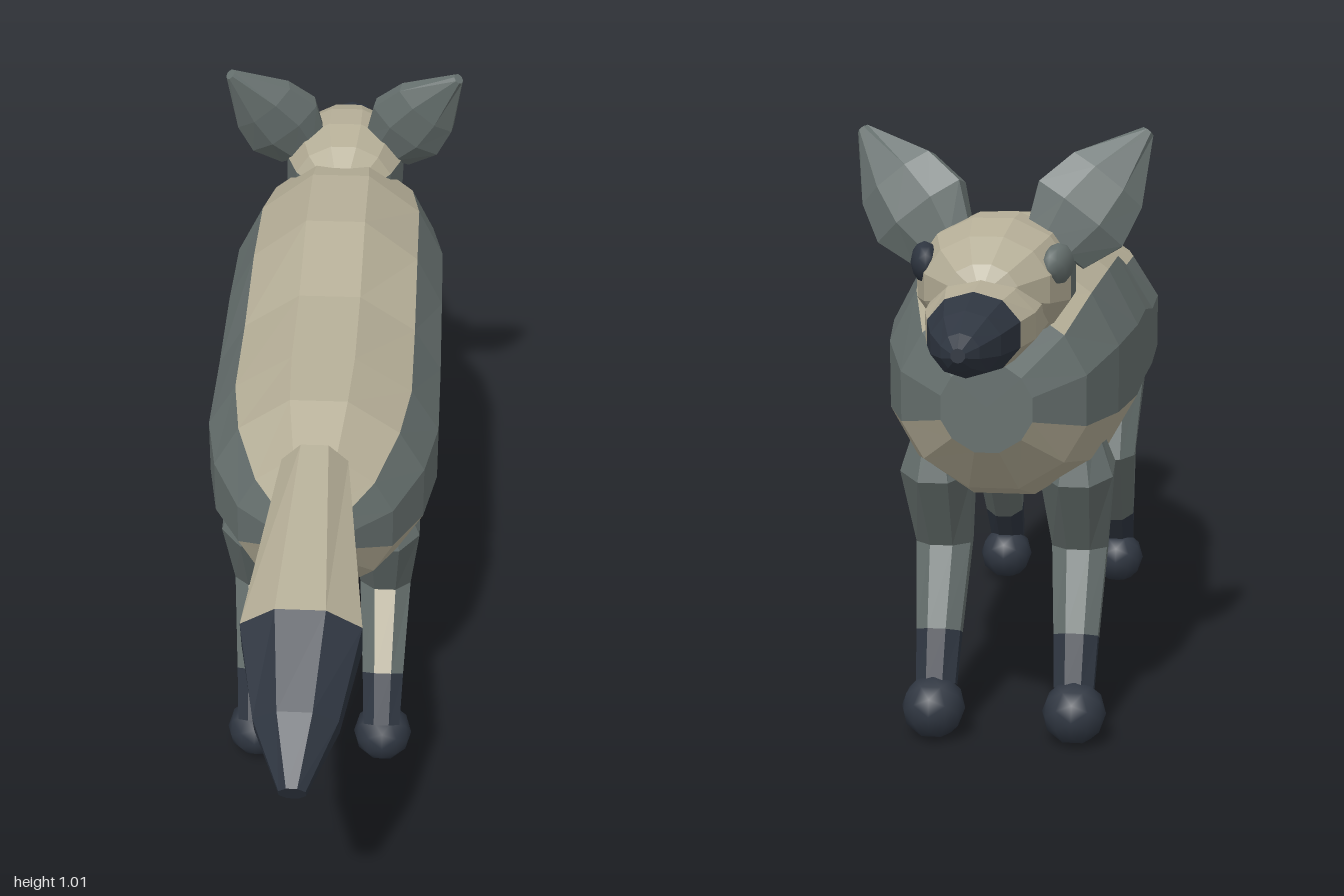
import * as THREE from 'three';

const V = (x, y, z) => new THREE.Vector3(x, y, z);

// Regular n-sided section with a flat facing up
function ngon(n) {
  const pts = [];
  for (let j = 0; j < n; j++) {
    const a = ((j + 0.5) / n) * Math.PI * 2, r = 1 / Math.cos(Math.PI / n);
    pts.push([Math.cos(a) * r, Math.sin(a) * r]);
  }
  return pts;
}

// Faceted skin along path points [x, y, z, ru, rv]; pick(i, j) gives a material index per face
function loft(path, profile, u0, pick, axis) {
  const centres = path.map((p) => V(p[0], p[1], p[2]));
  const last = path.length - 1, n = profile.length;
  const rings = path.map((p, i) => {
    const t = axis ? axis.clone()
      : centres[Math.min(i + 1, last)].clone().sub(centres[Math.max(i - 1, 0)]).normalize();
    const u = u0.clone().addScaledVector(t, -u0.dot(t)).normalize();
    const v = t.clone().cross(u);
    return profile.map(([a, b]) =>
      centres[i].clone().addScaledVector(u, a * p[3]).addScaledVector(v, b * p[4]));
  });
  const buckets = [[], [], []];
  const tri = (m, ...pts) => pts.forEach((p) => buckets[m].push(p.x, p.y, p.z));
  for (let i = 0; i < last; i++) {
    for (let j = 0; j < n; j++) {
      const k = (j + 1) % n, m = pick(i, j);
      const a = rings[i][j], b = rings[i][k], c = rings[i + 1][k], d = rings[i + 1][j];
      tri(m, a, b, c);
      tri(m, a, c, d);
    }
  }
  for (let j = 0; j < n; j++) {
    const k = (j + 1) % n;
    tri(pick(0, 0), centres[0], rings[0][k], rings[0][j]);
    tri(pick(last - 1, 0), centres[last], rings[last][j], rings[last][k]);
  }
  const geo = new THREE.BufferGeometry();
  geo.setAttribute('position', new THREE.Float32BufferAttribute(buckets.flat(), 3));
  let start = 0;
  buckets.forEach((b, m) => {
    if (b.length) geo.addGroup(start, b.length / 3, m);
    start += b.length / 3;
  });
  geo.computeVertexNormals();
  return geo;
}

export function createModel() {
  const model = new THREE.Group();
  const mat = (name, color) => {
    const m = new THREE.MeshStandardMaterial({ color });
    m.name = name;
    return m;
  };
  const cream = mat('creamFur', 0xb5ae97);
  const grey = mat('greyFur', 0x66706e);
  const dark = mat('darkFur', 0x2f3641);
  const mats = [cream, grey, dark];
  const CREAM = 0, GREY = 1, DARK = 2;
  const add = (name, geo, material = mats) => {
    const mesh = new THREE.Mesh(geo, material);
    mesh.name = name;
    model.add(mesh);
    return mesh;
  };
  const X = V(1, 0, 0), Z = V(0, 0, 1);

  // Body: cream back and belly, grey flanks
  const half = [[1, 0.24], [0.76, 0.66], [0.27, 1]];
  const low = [[-1, -0.3], [-0.76, -0.7], [-0.27, -1]];
  const bodyProfile = [
    ...half, ...half.map(([a, b]) => [-a, b]).reverse(),
    ...low, ...low.map(([a, b]) => [-a, b]).reverse(),
  ];
  // [z, bottom, top, half width]
  const body = [
    [-0.735, 0.53, 0.67, 0.07], [-0.66, 0.455, 0.75, 0.145], [-0.54, 0.415, 0.815, 0.185],
    [-0.4, 0.4, 0.84, 0.205], [-0.2, 0.39, 0.835, 0.205], [0, 0.395, 0.78, 0.205],
    [0.2, 0.4, 0.765, 0.203], [0.33, 0.41, 0.755, 0.18], [0.44, 0.45, 0.71, 0.13],
    [0.52, 0.545, 0.67, 0.065],
  ].map(([z, b, t, w]) => [0, (b + t) / 2, z, w, (t - b) / 2]);
  add('body', loft(body, bodyProfile, X, (i, j) => {
    if (j >= 6 && j <= 10) return CREAM;
    return j >= 1 && j <= 3 && i > 0 ? CREAM : GREY;
  }, Z));

  // Head: grey cheeks at the lower back
  const head = [];
  for (let k = 0; k <= 7; k++) {
    const a = (k / 7) * Math.PI, s = Math.max(Math.sin(a), 0.02);
    head.push([0, 0.78, -0.61 - 0.18 * Math.cos(a), 0.122 * s, 0.1 * s]);
  }
  add('head', loft(head, ngon(12), X, (i, j) => (i >= 3 && j >= 5 ? GREY : CREAM), Z));

  // Muzzle ending in a dark nose
  const muzzle = [
    [0, 0.745, -0.62, 0.09, 0.066], [0, 0.737, -0.79, 0.082, 0.061],
    [0, 0.735, -0.855, 0.068, 0.058], [0, 0.733, -0.93, 0.05, 0.046],
    [0, 0.731, -0.98, 0.027, 0.026], [0, 0.73, -1, 0.01, 0.01],
  ];
  add('muzzle', loft(muzzle, ngon(10), X, (i) => (i < 2 ? CREAM : DARK), V(0, 0, -1)));

  // Tail: cream on top, dark tip
  const tail = [
    [0, 0.68, 0.43, 0.055, 0.06], [0, 0.6, 0.775, 0.093, 0.071],
    [0, 0.53, 0.9, 0.064, 0.058], [0, 0.478, 0.99, 0.02, 0.022],
  ];
  add('tail', loft(tail, ngon(8), X, (i, j) => (i > 0 ? DARK : j < 3 ? CREAM : GREY)));

  // Leg paths [y, z, side radius, front-to-back radius]
  const legs = {
    rearLeg: [[0.54, 0.275, 0.03, 0.035], [0.47, 0.265, 0.06, 0.065], [0.31, 0.205, 0.046, 0.052],
      [0.165, 0.305, 0.037, 0.034], [0.085, 0.355, 0.033, 0.028]],
    frontLeg: [[0.535, -0.5, 0.03, 0.04], [0.45, -0.495, 0.06, 0.066], [0.305, -0.44, 0.046, 0.042],
      [0.165, -0.505, 0.037, 0.034], [0.085, -0.54, 0.033, 0.028]],
  };

  for (const s of [1, -1]) {
    const side = s > 0 ? 'Left' : 'Right';

    for (const [name, pts] of Object.entries(legs)) {
      const rear = name === 'rearLeg';
      const path = pts.map(([y, z, a, b]) => [s * 0.115, y, z, a, b]);
      add(name + side, loft(path, ngon(8), X, (i, j) => {
        if (i === 3) return DARK;
        return rear && i === 2 && j === 1 ? CREAM : GREY;
      }));
      const paw = add((rear ? 'rearPaw' : 'frontPaw') + side, new THREE.IcosahedronGeometry(0.053, 1), dark);
      paw.position.set(s * 0.117, 0.052, rear ? 0.337 : -0.56);
    }

    // Leaf-shaped ears leaning outward
    const ear = [
      [s * 0.088, 0.825, -0.585, 0.055, 0.03], [s * 0.125, 0.875, -0.57, 0.082, 0.04],
      [s * 0.165, 0.925, -0.55, 0.068, 0.034], [s * 0.226, 1.0, -0.517, 0.01, 0.012],
    ];
    add('ear' + side, loft(ear, ngon(8), V(0.8 * s, -0.6, 0), () => GREY));

    // Eyes
    const eye = add('eye' + side, new THREE.IcosahedronGeometry(1, 1), s > 0 ? dark : grey);
    eye.scale.set(0.022, 0.032, 0.048);
    eye.position.set(s * 0.102, 0.812, -0.675);
    eye.rotation.y = s * 0.2;
  }
  return model;
}
